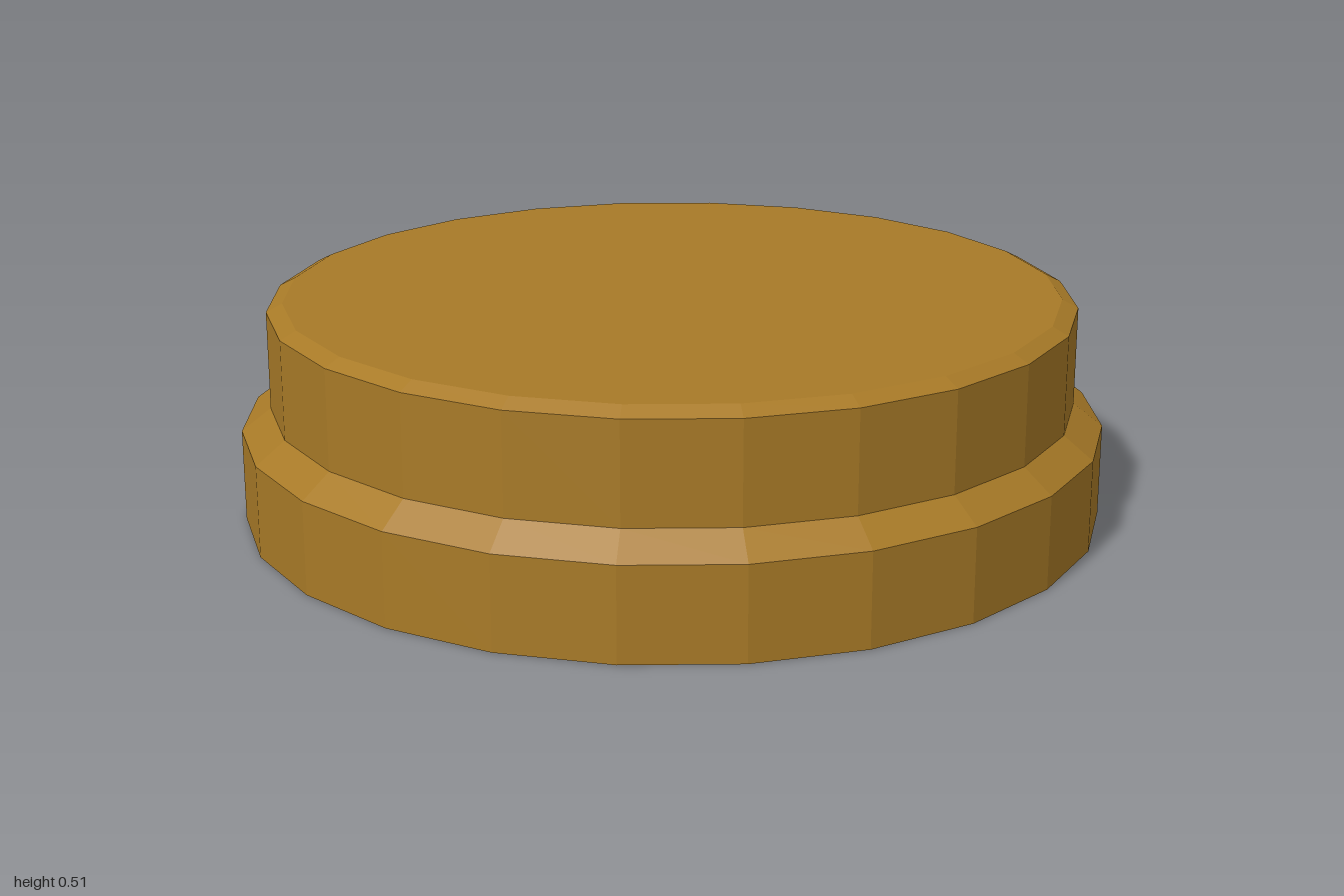
import * as THREE from 'three';

const SIDES = 24;

// Faceted solid of revolution; the profile runs from the underside outward, then up
function turned(name, profile, material) {
  const points = profile.map(([r, y]) => new THREE.Vector2(r, y));
  const geometry = new THREE.LatheGeometry(points, SIDES).toNonIndexed();
  geometry.computeVertexNormals();
  const mesh = new THREE.Mesh(geometry, material);
  mesh.name = name;
  return mesh;
}

export function createModel() {
  const gold = new THREE.MeshStandardMaterial({ color: 0xa87a27, flatShading: true });
  gold.name = 'gold';
  const grey = new THREE.MeshStandardMaterial({ color: 0x7f7c88, flatShading: true });
  grey.name = 'grey';

  const group = new THREE.Group();
  group.name = 'steppedCap';

  // Wide base, sloped shoulder, upper drum with a chamfered flat top
  group.add(turned('capShell', [
    [1, 0], [1, 0.213], [0.932, 0.265], [0.932, 0.493], [0.895, 0.512], [0, 0.512],
  ], gold));

  // Underside: central boss, sunken ring floor and outer rim
  group.add(turned('underside', [
    [0, 0], [0.427, 0], [0.427, 0.07], [0.895, 0.07], [0.895, 0], [1, 0],
  ], grey));

  return group;
}
